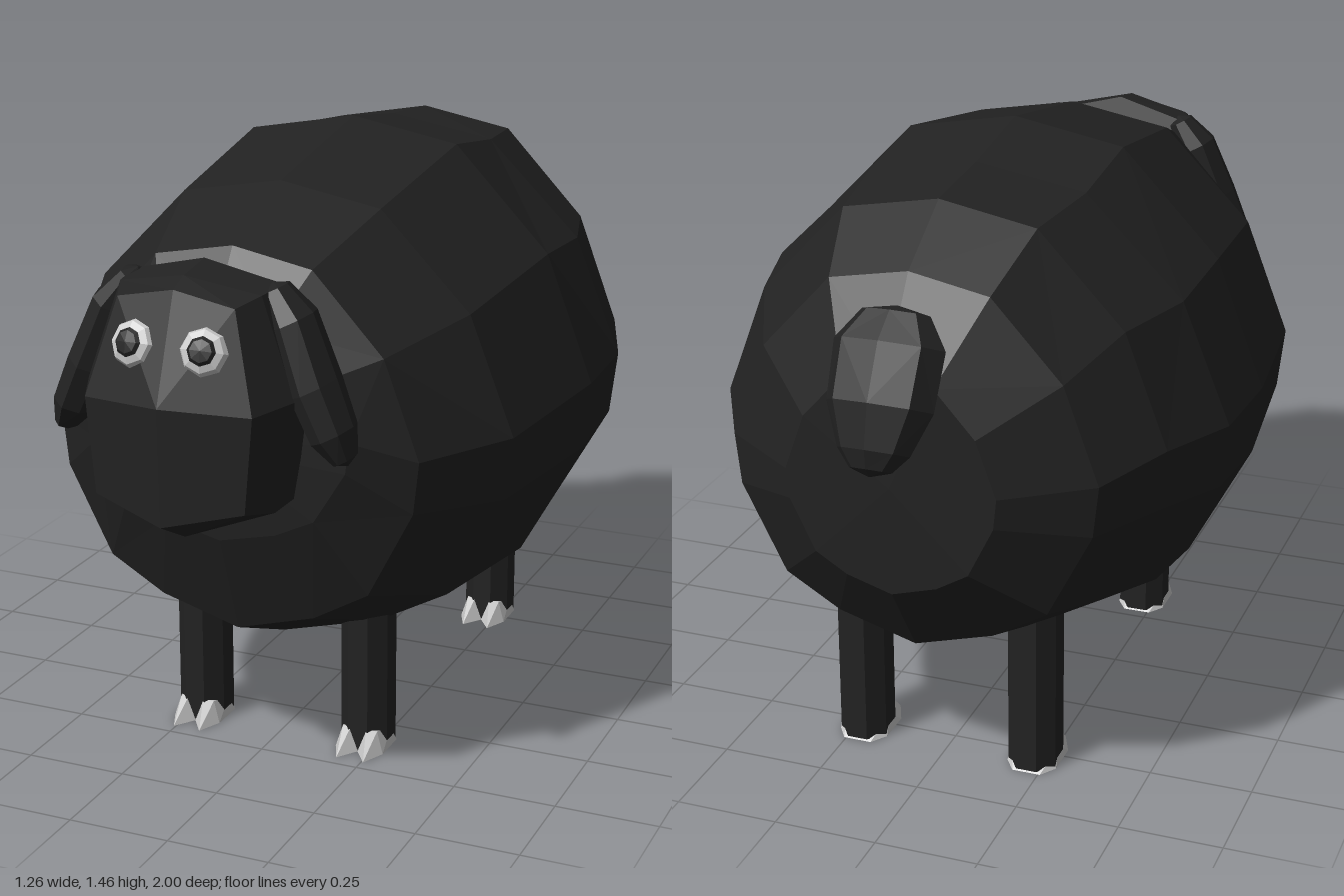
import * as THREE from 'three';
import { ConvexGeometry } from 'three/addons/geometries/ConvexGeometry.js';

const wool = new THREE.MeshStandardMaterial({ color: 0x222222, flatShading: true });
const grey = new THREE.MeshStandardMaterial({ color: 0xcccccc, flatShading: true });

// Skin between closed rings of [x, y, z], closed by a point at each end
function loft(rings, first, last) {
  const n = rings[0].length;
  const pos = [...rings.flat(), first, last].flat();
  const a = rings.length * n, b = a + 1, end = (rings.length - 1) * n;
  const index = [];
  for (let j = 0; j < n; j++) {
    const k = (j + 1) % n;
    index.push(a, k, j, b, end + j, end + k);
    for (let i = 0; i < rings.length - 1; i++) {
      const p = i * n + j, q = i * n + k, r = q + n, s = p + n;
      // alternate the diagonals for a faceted look, mirrored left to right
      if ((i + j + (j < n / 2 ? 0 : 1)) % 2) index.push(p, q, r, p, r, s);
      else index.push(p, q, s, q, r, s);
    }
  }
  const g = new THREE.BufferGeometry();
  g.setAttribute('position', new THREE.Float32BufferAttribute(pos, 3));
  g.setIndex(index);
  const flat = g.toNonIndexed();
  flat.computeVertexNormals();
  return flat;
}

// Half ring running from top to bottom on the +x side, completed by mirroring
const mirrorRing = half =>
  [...half, ...half.slice(1, -1).reverse().map(([x, y, z]) => [-x, y, z])];

// Elliptic rings along a path; each step is [centre, radius along u, radius across]
function limb(steps, u, sides = 8) {
  const centres = steps.map(s => new THREE.Vector3(...s[0]));
  const d = centres.at(-1).clone().sub(centres[0]).normalize();
  const U = new THREE.Vector3(...u), V = d.clone().cross(U);
  const rings = steps.map(([, ru, rv], i) => Array.from({ length: sides }, (_, j) => {
    const t = (j / sides) * Math.PI * 2;
    return centres[i].clone().addScaledVector(U, ru * Math.cos(t))
      .addScaledVector(V, rv * Math.sin(t)).toArray();
  }));
  return loft(rings, centres[0].clone().addScaledVector(d, -0.015).toArray(),
    centres.at(-1).clone().addScaledVector(d, 0.015).toArray());
}

function add(parent, name, geometry, material = wool) {
  const mesh = new THREE.Mesh(geometry, material);
  mesh.name = name;
  parent.add(mesh);
  return mesh;
}

function makeBody() {
  // unit half outline, then stations of [z, half width, bottom, top]
  const outline = [[0, 1], [0.43, 0.92], [0.81, 0.52], [1, 0.02], [0.97, -0.25],
    [0.73, -0.71], [0.43, -0.88], [0, -1]];
  const stations = [[0.71, 0.32, 0.62, 1.16], [0.62, 0.45, 0.37, 1.29], [0.36, 0.58, 0.26, 1.385],
    [-0.07, 0.63, 0.21, 1.46], [-0.33, 0.62, 0.26, 1.42], [-0.56, 0.54, 0.32, 1.4],
    [-0.74, 0.44, 0.38, 1.29], [-0.87, 0.25, 0.57, 1.1]];
  const rings = stations.map(([z, w, lo, hi]) => mirrorRing(outline.map(([x, y]) =>
    [x * w, (lo + hi) / 2 + y * (hi - lo) / 2, z])));
  return loft(rings, [0, 0.85, 0.73], [0, 0.83, -0.875]);
}

function makeHead() {
  const rings = [
    [[0, 1.26, 0.91], [0.14, 1.23, 0.9], [0.2, 1.01, 0.95], [0.18, 0.79, 0.95], [0, 0.75, 0.995]],
    [[0, 1.28, 0.86], [0.17, 1.245, 0.83], [0.25, 1.02, 0.84], [0.21, 0.77, 0.86], [0, 0.69, 0.88]],
    [[0, 1.295, 0.76], [0.18, 1.25, 0.74], [0.22, 1.0, 0.68], [0.2, 0.76, 0.74], [0, 0.72, 0.78]],
  ].map(mirrorRing);
  return loft(rings, [0, 1.02, 1], [0, 1, 0.67]);
}

// One half of a cloven hoof, on the +x side of its leg
function makeToe() {
  return new ConvexGeometry([
    [0, 0, -0.07], [0.035, 0, -0.07], [0.062, 0, -0.03], [0.062, 0, 0.06],
    [0, 0, 0.07], [0.035, 0, 0.12], [0.004, 0.055, 0.0], [0.058, 0.045, 0.0],
    [0.02, 0.06, 0.065], [0.045, 0.055, 0.055],
  ].map(p => new THREE.Vector3(...p)));
}

function makeLeg() {
  const leg = new THREE.Group();
  const shaft = add(leg, 'shaft', new THREE.CylinderGeometry(0.065, 0.065, 0.42, 8));
  shaft.geometry.rotateY(Math.PI / 8);
  shaft.scale.z = 1.15;
  shaft.position.y = 0.215;
  for (const s of [1, -1]) add(leg, 'hoofToe', makeToe(), grey).scale.x = s;
  return leg;
}

function makeEye() {
  const eye = new THREE.Group();
  eye.name = 'eye';
  const ball = add(eye, 'eyeWhite', new THREE.SphereGeometry(0.055, 8, 6).rotateX(Math.PI / 2), grey);
  ball.scale.z = 0.5;
  const pupil = add(eye, 'pupil', new THREE.SphereGeometry(0.036, 8, 4).rotateX(Math.PI / 2));
  pupil.position.z = 0.018;
  pupil.scale.z = 0.4;
  return eye;
}

export function createModel() {
  const sheep = new THREE.Group();
  sheep.name = 'sheep';
  add(sheep, 'body', makeBody());
  add(sheep, 'head', makeHead());

  // Tail hanging down and back from the rump
  add(sheep, 'tail', limb([
    [[0, 1.22, -0.81], 0.08, 0.04], [[0, 1.16, -0.85], 0.13, 0.07],
    [[0, 1.04, -0.91], 0.125, 0.075], [[0, 0.95, -0.95], 0.085, 0.055],
    [[0, 0.915, -0.968], 0.05, 0.03],
  ], [1, 0, 0]));

  for (const s of [1, -1]) {
    const side = s > 0 ? 'left' : 'right';

    // Drooping ears
    add(sheep, side + 'Ear', limb([
      [[s * 0.17, 1.245, 0.76], 0.045, 0.03], [[s * 0.215, 1.18, 0.765], 0.075, 0.05],
      [[s * 0.27, 1.04, 0.775], 0.085, 0.055], [[s * 0.315, 0.94, 0.78], 0.075, 0.05],
      [[s * 0.342, 0.885, 0.78], 0.045, 0.025],
    ], [0, 0, 1]));

    // Eyes set on the sloping forehead
    const eye = makeEye();
    eye.position.set(s * 0.084, 1.14, 0.937);
    eye.rotation.set(-0.35, s * 0.15, 0);
    sheep.add(eye);

    // Front and hind legs
    for (const [name, z] of [['FrontLeg', 0.35], ['HindLeg', -0.53]]) {
      const leg = makeLeg();
      leg.name = side + name;
      leg.position.set(s * 0.22, 0, z);
      sheep.add(leg);
    }
  }
  return sheep;
}
